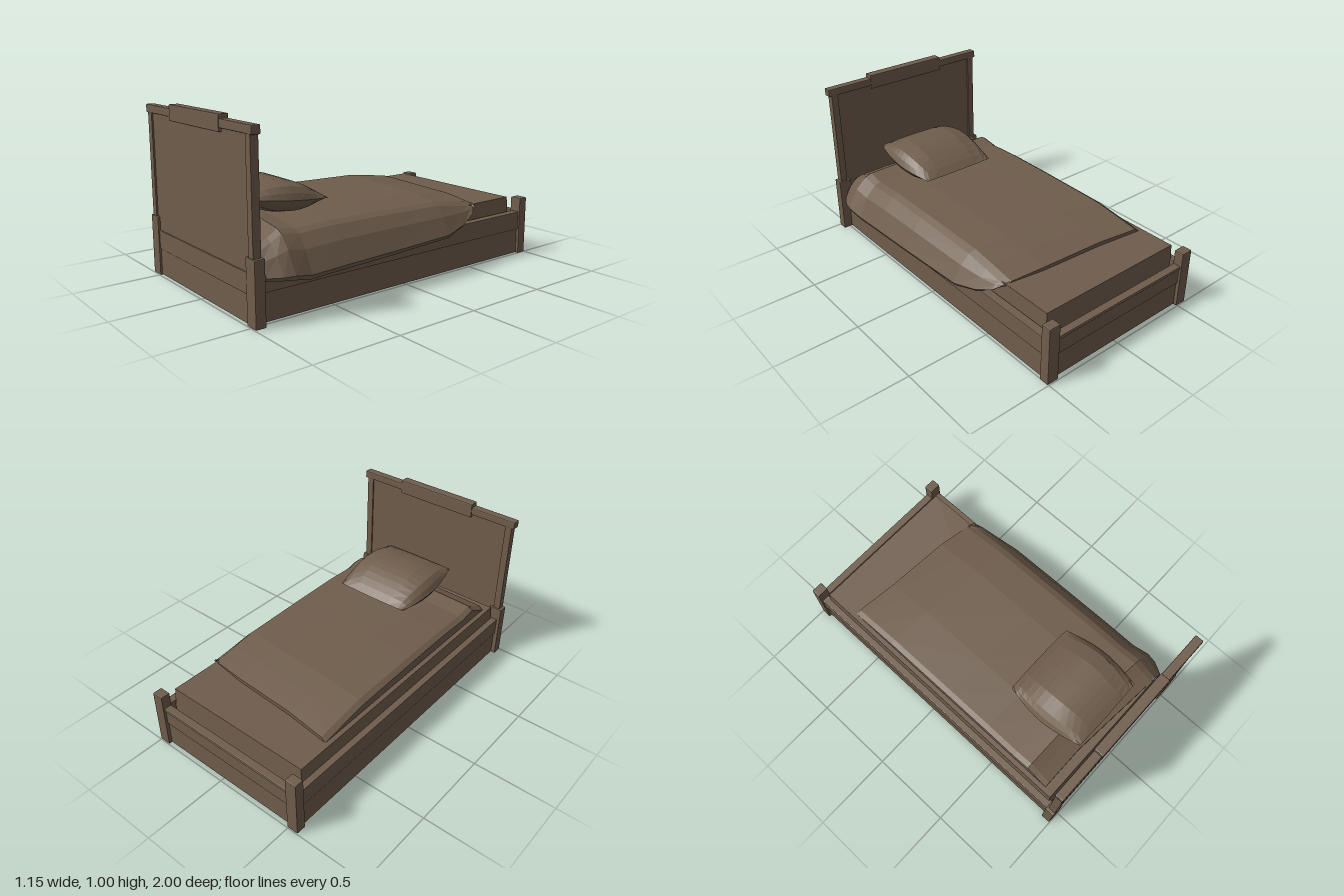
import * as THREE from 'three';
import { RoundedBoxGeometry } from 'three/addons/geometries/RoundedBoxGeometry.js';

// Surface through a list of rows, each a list of [x, y, z]
function skin(rows) {
  const cols = rows[0].length, index = [];
  for (let i = 0; i < rows.length - 1; i++) {
    for (let j = 0; j < cols - 1; j++) {
      const a = i * cols + j, b = a + 1, c = a + cols, d = c + 1;
      index.push(a, b, c, b, d, c);
    }
  }
  const g = new THREE.BufferGeometry();
  g.setAttribute('position', new THREE.Float32BufferAttribute(rows.flat(2), 3));
  g.setIndex(index);
  g.computeVertexNormals();
  return g;
}

export function createModel() {
  const bed = new THREE.Group();
  bed.name = 'bed';
  const brown = new THREE.MeshStandardMaterial({ color: 0x6f5d4c });
  brown.name = 'brown';
  brown.flatShading = true;
  brown.side = THREE.DoubleSide;

  const add = (name, geometry) => {
    const m = new THREE.Mesh(geometry, brown);
    m.name = name;
    bed.add(m);
    return m;
  };
  // Box given by its limits, with an optional bevel
  const block = (name, x0, x1, y0, y1, z0, z1, bevel = 0) => {
    const s = [x1 - x0, y1 - y0, z1 - z0];
    const g = bevel ? new RoundedBoxGeometry(...s, 1, bevel) : new THREE.BoxGeometry(...s);
    add(name, g).position.set((x0 + x1) / 2, (y0 + y1) / 2, (z0 + z1) / 2);
  };

  // Headboard
  for (const [x0, x1] of [[-0.575, -0.493], [0.46, 0.542]]) {
    block('headPostBase', x0, x1, 0, 0.345, 0.937, 0.997, 0.005);
  }
  for (const [x0, x1] of [[-0.557, -0.515], [0.482, 0.524]]) {
    block('headPost', x0, x1, 0.33, 0.935, 0.948, 0.992);
  }
  block('headPanel', -0.52, 0.487, 0.26, 0.935, 0.957, 0.983);
  block('headRail', -0.5, 0.465, 0.155, 0.265, 0.94, 0.99, 0.004);
  block('headSkirt', -0.5, 0.465, 0.005, 0.157, 0.955, 0.985);
  block('headCap', -0.575, 0.543, 0.93, 0.976, 0.945, 0.996, 0.006);
  block('headCrest', -0.28, 0.25, 0.91, 0.999, 0.941, 1, 0.006);

  // Foot end
  for (const [x0, x1] of [[-0.565, -0.492], [0.432, 0.505]]) {
    block('footPost', x0, x1, 0, 0.352, -0.997, -0.937, 0.006);
  }
  block('footRail', -0.5, 0.44, 0.155, 0.25, -0.982, -0.945);
  block('footCap', -0.5, 0.44, 0.245, 0.266, -0.988, -0.94, 0.005);
  block('footSkirt', -0.5, 0.44, 0.005, 0.157, -0.976, -0.955);

  // Side rails and the floor of the frame
  for (const [x0, x1, s0, s1] of [[-0.555, -0.505, -0.547, -0.525], [0.445, 0.495, 0.465, 0.487]]) {
    block('sideRail', x0, x1, 0.155, 0.266, -0.94, 0.94, 0.004);
    block('sideSkirt', s0, s1, 0.004, 0.157, -0.96, 0.96);
  }
  block('frameFloor', -0.535, 0.475, 0.15, 0.17, -0.965, 0.965);

  // Mattress, drawn in slightly toward the top
  const mattress = new THREE.BoxGeometry(0.96, 0.195, 1.84);
  const p = mattress.attributes.position;
  for (let i = 0; i < p.count; i++) {
    if (p.getY(i) > 0) {
      p.setX(i, p.getX(i) * 0.985);
      p.setZ(i, p.getZ(i) * 0.985);
    }
  }
  mattress.computeVertexNormals();
  add('mattress', mattress).position.set(-0.04, 0.258, 0.01);

  // Blanket: [place along the bed, top height, hem x, hem height], head to foot
  const stations = [
    [0, 0.38, 0.52, 0.22], [0.05, 0.415, 0.56, 0.215], [0.09, 0.45, 0.572, 0.21],
    [0.16, 0.432, 0.562, 0.19], [0.3, 0.44, 0.56, 0.198], [0.5, 0.437, 0.555, 0.206],
    [0.8, 0.426, 0.545, 0.222], [0.9, 0.405, 0.515, 0.258], [0.97, 0.388, 0.485, 0.31], [1, 0.38, 0.455, 0.355],
  ];
  const zHead = x => THREE.MathUtils.mapLinear(Math.max(x, -0.2), -0.2, 0.5, 0.86, 0.92);
  const zFoot = x => (x < -0.15 ? -0.64 + (x + 0.15) * 0.12 : -0.64 + Math.max(0, x + 0.15) ** 2 * 0.16);
  const rows = stations.map(([t, top, hemX, hemY]) => {
    const shoulder = top - 0.035;
    const section = [
      [-0.485, 0.352], [-0.485, top - 0.025], [-0.455, top - 0.005], [-0.2, top], [0.2, top - 0.004],
      [0.4, top - 0.018], [0.44, shoulder],
      [0.44 + (hemX - 0.44) * 0.5, shoulder + (hemY - shoulder) * 0.32],
      [hemX, hemY + (shoulder - hemY) * 0.12], [hemX - 0.012, hemY], [hemX - 0.045, hemY + 0.01],
    ];
    return section.map(([x, y]) => [x, y, THREE.MathUtils.lerp(zHead(Math.min(x, 0.5)), zFoot(Math.min(x, 0.46)), t)]);
  });
  // Turned-down edges at both ends
  const edge = row => row.map(([x, y, z], j) => (j < 7 ? [x, 0.35, z] : [Math.min(x, 0.47), y, z]));
  add('blanket', skin([edge(rows[0]), ...rows, edge(rows[rows.length - 1])]));

  // Pillow: lens sections set side by side, with bulging ends
  const pillow = [], around = 12;
  for (const v of [-1, -0.93, -0.82, -0.5, 0, 0.5, 0.82, 0.93, 1]) {
    const ring = [];
    for (let k = 0; k <= 2 * around; k++) {
      const u = k <= around ? k / around : 2 - k / around;
      const swell = Math.abs(Math.sin(Math.PI * u));
      const thick = 0.09 * swell ** 0.8 * (1 - Math.abs(v) ** 7) * (k <= around ? 1 : -0.95);
      ring.push([
        0.02 + v * (0.238 + 0.04 * swell),
        0.5 + 0.055 * u + thick,
        0.348 + 0.515 * u + 0.012 * v * v * (0.5 - u),
      ]);
    }
    pillow.push(ring);
  }
  add('pillow', skin(pillow));

  return bed;
}
